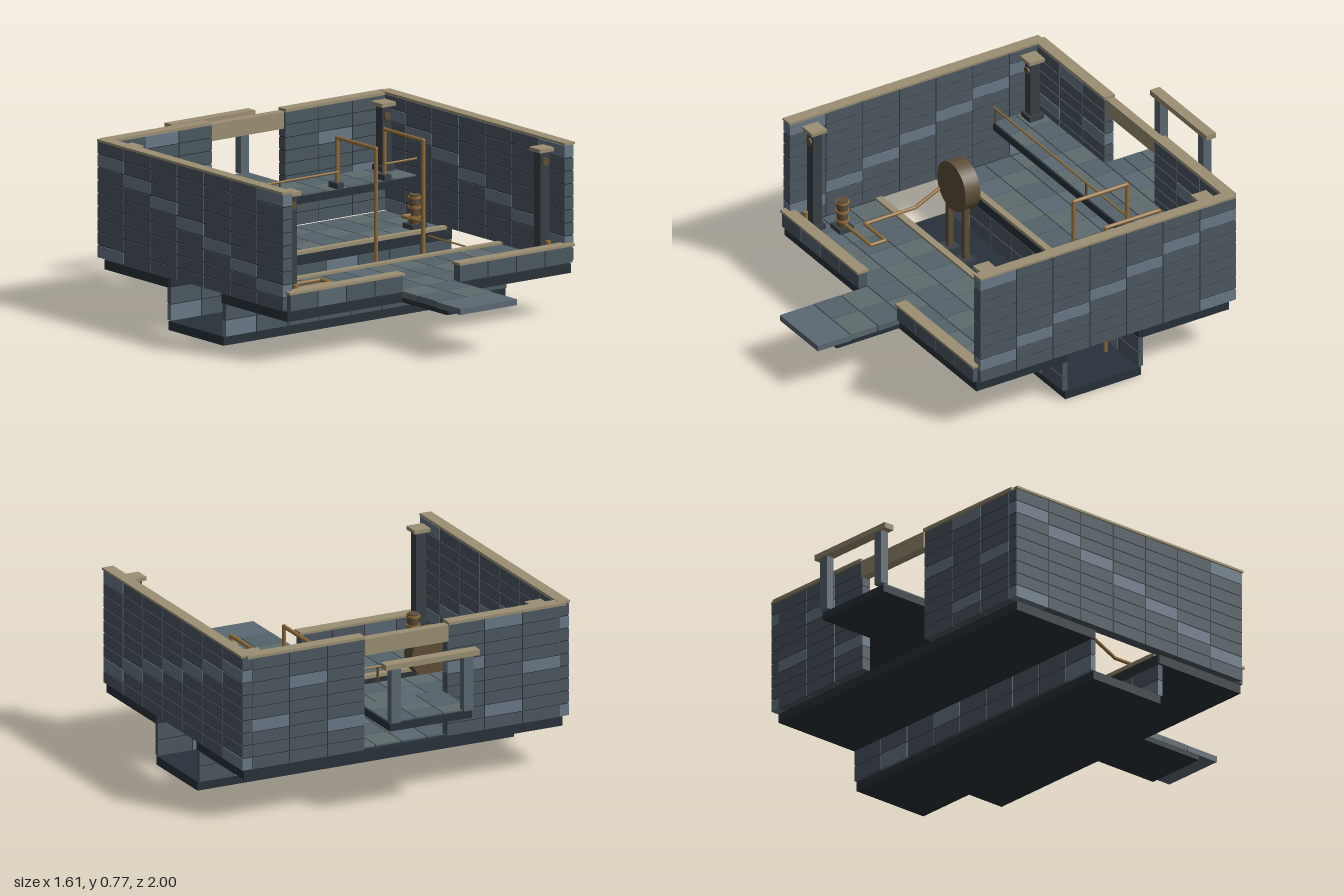
import * as THREE from 'three';
import { mergeGeometries } from 'three/addons/utils/BufferGeometryUtils.js';

const mat = (color) => new THREE.MeshStandardMaterial({ color });
const M = {
  dark: mat(0x28323a), stone: mat(0x4c5860), pale: mat(0x6a7986),
  floorA: mat(0x55636a), floorB: mat(0x5e6b6e), slate: mat(0x5c6973),
  tan: mat(0x9c9074), brass: mat(0x94703c), bronze: mat(0x5e4f38), iron: mat(0x3a4046),
};

export function createModel() {
  const root = new THREE.Group();

  const add = (name, geo, m, x = 0, y = 0, z = 0) => {
    const mesh = new THREE.Mesh(geo, m);
    mesh.name = name;
    mesh.position.set(x, y, z);
    root.add(mesh);
    return mesh;
  };
  // box given by its ranges on each axis
  const box = (name, m, x0, x1, y0, y1, z0, z1) =>
    add(name, new THREE.BoxGeometry(x1 - x0, y1 - y0, z1 - z0), m, (x0 + x1) / 2, (y0 + y1) / 2, (z0 + z1) / 2);
  const cyl = (name, m, r, y0, y1, x, z, sides = 12) =>
    add(name, new THREE.CylinderGeometry(r, r, y1 - y0, sides), m, x, (y0 + y1) / 2, z);
  // straight pipes with round joints along a list of points
  const pipe = (name, r, pts) => {
    const v = pts.map((p) => new THREE.Vector3(...p));
    const path = new THREE.CurvePath();
    const parts = v.map((p) => new THREE.SphereGeometry(r * 1.1, 8, 6).translate(p.x, p.y, p.z));
    for (let i = 1; i < v.length; i++) parts.push(new THREE.TubeGeometry(new THREE.LineCurve3(v[i - 1], v[i]), 1, r, 8));
    return add(name, mergeGeometries(parts), M.brass);
  };
  // box cut into a grid of blocks over a dark mortar core; pick(i, j, k) names the block's material
  const blocks = (name, lo, hi, n, pick) => {
    const gap = 0.005, size = lo.map((a, i) => (hi[i] - a) / n[i]);
    const sets = {};
    for (let i = 0; i < n[0]; i++) for (let j = 0; j < n[1]; j++) for (let k = 0; k < n[2]; k++) {
      const c = [i, j, k];
      const d = size.map((s, a) => (n[a] > 1 ? s - gap : s));
      const p = size.map((s, a) => lo[a] + s * (c[a] + 0.5));
      (sets[pick(i, j, k)] ||= []).push(new THREE.BoxGeometry(...d).translate(...p));
    }
    for (const key in sets) add(name + 'Blocks', mergeGeometries(sets[key]), M[key]);
    const e = 0.004;
    box(name + 'Core', M.dark, lo[0] + e, hi[0] - e, lo[1] + e, hi[1] - e, lo[2] + e, hi[2] - e);
  };
  const diagonal = (r, c) => ((r - c + 14) % 7 === 1 ? 'pale' : 'stone');
  const floorPick = (i, j, k) => ((i * 5 + k * 3) % 7 < 3 ? 'floorB' : (i + 2 * k) % 5 === 0 ? 'slate' : 'floorA');

  // foundation slabs on both sides of the channel, with paving
  box('frontSlab', M.dark, -0.78, 0.78, 0.19, 0.232, 0.11, 0.58);
  box('backSlab', M.dark, -0.78, 0.78, 0.19, 0.232, -0.72, -0.27);
  blocks('frontFloor', [-0.75, 0.22, 0.13], [0.75, 0.24, 0.55], [12, 1, 3], floorPick);
  blocks('backFloor', [-0.75, 0.22, -0.7], [0.75, 0.24, -0.29], [12, 1, 3], floorPick);

  // sunken channel, open at both ends
  box('channelFloor', M.dark, -0.775, 0.775, 0, 0.04, -0.27, 0.12);
  for (const [z0, z1, t0, t1] of [[0.108, 0.132, 0.1, 0.132], [-0.282, -0.258, -0.29, -0.26]]) {
    blocks('channelWall', [-0.775, 0.04, z0], [0.775, 0.19, z1], [9, 2, 1],
      (i, j) => ((i + j * 2) % 7 === 0 || (i === 7 && !j) ? 'pale' : 'stone'));
    box('channelWallTop', M.dark, -0.775, 0.775, 0.19, 0.235, z0, z1);
    box('channelTrim', M.tan, -0.75, 0.75, 0.235, 0.25, t0, t1);
  }
  pipe('channelRod', 0.004, [[0.645, 0.222, -0.26], [0.645, 0.222, 0.11]]);

  // upper platform along the back wall and balcony behind the doorway
  box('platformBody', M.dark, -0.75, 0.75, 0.4, 0.434, -0.7, -0.473);
  blocks('platformFloor', [-0.75, 0.425, -0.7], [0.75, 0.44, -0.475], [12, 1, 2], floorPick);
  box('balconyBody', M.dark, -0.2, 0.2, 0.4, 0.434, -0.98, -0.7);
  blocks('balconyFloor', [-0.2, 0.425, -0.97], [0.2, 0.441, -0.7], [3, 1, 3], floorPick);
  box('balconyLintel', M.tan, -0.23, 0.23, 0.69, 0.715, -1, -0.95);

  // walls, mirrored left and right
  for (const s of [-1, 1]) {
    const X = (a, b) => (s > 0 ? [a, b] : [-b, -a]);
    const [w0, w1] = X(0.75, 0.8), [b0, b1] = X(0.2, 0.755), [f0, f1] = X(0.155, 0.78);
    blocks('sideWall', [w0, 0.24, -0.745], [w1, 0.76, 0.575], [1, 9, 7], (i, j, k) => diagonal(j, 6 - k));
    box('sideWallCap', M.tan, ...X(0.75, 0.805), 0.76, 0.77, -0.74, 0.575);
    blocks('backWall', [b0, 0.24, -0.745], [b1, 0.755, -0.7], [3, 9, 1], (i, j) => diagonal(j * 2, i + (s > 0 ? 3 : 0)));
    box('backWallCap', M.tan, ...X(0.205, 0.78), 0.755, 0.768, -0.755, -0.7);
    blocks('frontWall', [f0, 0.24, 0.55], [f1, 0.315, 0.595], [4, 1, 1], (i) => (i === 1 && s < 0 ? 'slate' : 'stone'));
    box('frontWallCap', M.tan, ...X(0.152, 0.785), 0.313, 0.324, 0.545, 0.602);
    box('balconyPost', M.slate, ...X(0.155, 0.2), 0.44, 0.69, -0.995, -0.955);

    // corner pillars, the back pair standing on the platform
    for (const [z, y] of [[0.48, 0.24], [-0.64, 0.44]]) {
      const x = s * 0.695;
      box('pillarBase', M.iron, x - 0.036, x + 0.036, y, y + 0.025, z - 0.036, z + 0.036);
      box('pillar', M.iron, x - 0.024, x + 0.024, y + 0.02, 0.725, z - 0.024, z + 0.024);
      box('pillarCap', M.tan, x - 0.039, x + 0.039, 0.728, 0.745, z - 0.039, z + 0.039);
      const stud = add('pillarStud', new THREE.CylinderGeometry(0.018, 0.018, 0.012, 12), M.bronze, x, 0.685, z + 0.026);
      stud.rotation.x = Math.PI / 2;
    }
    cyl('pillarLamp', M.brass, 0.012, 0.24, 0.335, s * 0.695, 0.527);
  }
  box('doorLintel', M.tan, -0.205, 0.205, 0.68, 0.755, -0.752, -0.71);

  // entrance tongue at the front
  box('entranceSlab', M.dark, -0.15, 0.15, 0.19, 0.215, 0.55, 0.9);
  blocks('entranceFloor', [-0.155, 0.212, 0.55], [0.155, 0.24, 0.83], [2, 1, 2], floorPick);
  box('entranceRamp', M.slate, -0.155, 0.155, 0.21, 0.237, 0.83, 1);

  // guard rail on the platform edge, and the pair of tall handrails
  for (const [a, b, n] of [[-0.75, 0.32, 2], [0.58, 0.75, 0]]) {
    pipe('guardRail', 0.005, [[a, 0.512, -0.478], [b, 0.512, -0.478]]);
    for (let i = 0; i < n; i++) cyl('guardPost', M.bronze, 0.005, 0.44, 0.512, i ? 0 : -0.74, -0.478, 8);
  }
  for (const x of [0.32, 0.58]) {
    pipe('handrail', 0.009, [[x, 0.04, -0.21], [x, 0.665, -0.21], [x, 0.665, -0.485], [x, 0.44, -0.485]]);
    box('handrailFoot', M.iron, x - 0.018, x + 0.018, 0.44, 0.465, -0.525, -0.46);
  }

  // banded canisters on square bases
  for (const [x, z] of [[-0.62, 0.385], [0.645, -0.355]]) {
    box('canisterBase', M.iron, x - 0.04, x + 0.04, 0.24, 0.262, z - 0.036, z + 0.036);
    cyl('canister', M.bronze, 0.026, 0.26, 0.39, x, z, 16);
    for (const y of [0.29, 0.335, 0.378]) cyl('canisterBand', M.brass, 0.031, y - 0.005, y + 0.005, x, z, 16);
  }
  pipe('canisterPipe', 0.008, [[0.645, 0.3, -0.355], [0.58, 0.3, -0.355], [0.58, 0.3, -0.21]]);
  pipe('wheelPipe', 0.008, [[-0.555, 0.335, -0.08], [-0.555, 0.275, 0.05], [-0.555, 0.275, 0.31],
    [-0.39, 0.275, 0.31], [-0.39, 0.275, 0.385], [-0.62, 0.275, 0.385]]);

  // big wheel standing over the channel
  const wheel = add('wheel', new THREE.CylinderGeometry(0.116, 0.116, 0.076, 32), M.bronze, -0.455, 0.392, -0.11);
  wheel.rotation.x = Math.PI / 2;
  for (const x of [-0.52, -0.39]) {
    box('wheelPostFoot', M.iron, x - 0.035, x + 0.035, 0.04, 0.055, -0.138, -0.065);
    box('wheelPost', M.bronze, x - 0.012, x + 0.012, 0.05, 0.33, -0.115, -0.09);
  }
  return root;
}
